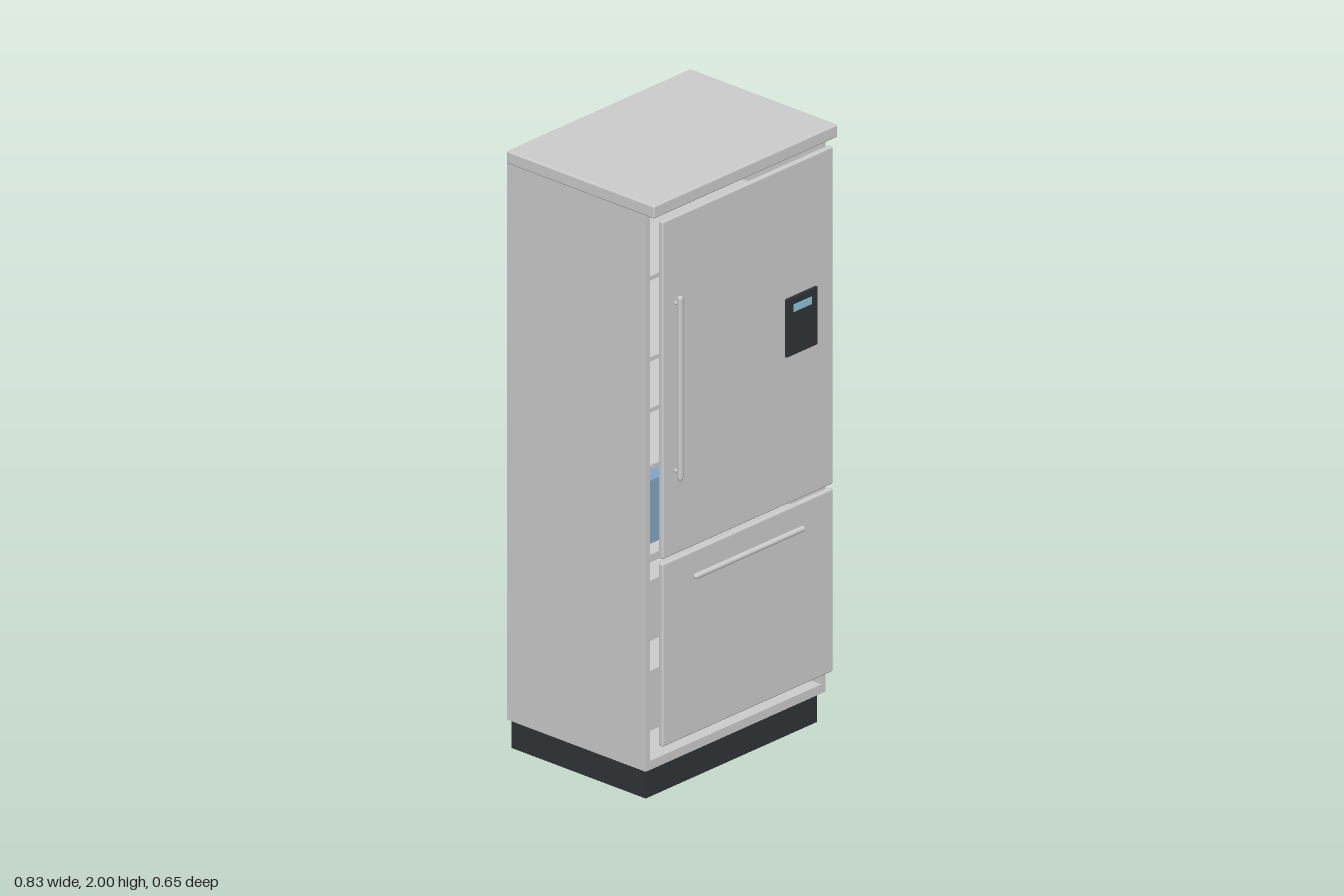
import * as THREE from 'three';
import { RoundedBoxGeometry } from 'three/addons/geometries/RoundedBoxGeometry.js';

const grey = new THREE.MeshStandardMaterial({ color: 0xcccccc });
const dark = new THREE.MeshStandardMaterial({ color: 0x303438 });
const glass = new THREE.MeshStandardMaterial({ color: 0x7fa6c4 });
const screen = new THREE.MeshStandardMaterial({ color: 0x8cc4d4 });

export function createModel() {
  const model = new THREE.Group();

  const add = (name, geometry, material = grey, parent = model) => {
    const mesh = new THREE.Mesh(geometry, material);
    mesh.name = name;
    parent.add(mesh);
    return mesh;
  };

  // Box given by its limits on each axis; a radius rounds its edges
  const box = (name, [x0, x1], [y0, y1], [z0, z1], material = grey, radius = 0, parent = model) => {
    const size = [x1 - x0, y1 - y0, z1 - z0];
    const geometry = radius
      ? new RoundedBoxGeometry(...size, 2, radius)
      : new THREE.BoxGeometry(...size);
    add(name, geometry, material, parent)
      .position.set((x0 + x1) / 2, (y0 + y1) / 2, (z0 + z1) / 2);
  };

  const rectangle = (Type, w, y0, y1) => new Type([
    new THREE.Vector2(-w, y0), new THREE.Vector2(w, y0),
    new THREE.Vector2(w, y1), new THREE.Vector2(-w, y1),
  ]);

  // Cabinet: a hollow shell, open at the front, with a recessed back panel
  const outline = rectangle(THREE.Shape, 0.403, 0.1, 1.96);
  outline.holes.push(rectangle(THREE.Path, 0.385, 0.13, 1.94));
  add('cabinetShell', new THREE.ExtrudeGeometry(outline, { depth: 0.573, bevelEnabled: false }))
    .position.z = -0.328;
  box('backPanel', [-0.385, 0.385], [0.13, 1.94], [-0.32, -0.3]);
  box('topPanel', [-0.413, 0.413], [1.957, 2], [-0.322, 0.288], grey, 0.006);

  // Plinth with a shallow kick plate
  box('plinth', [-0.385, 0.385], [0, 0.1], [-0.325, 0.228], dark);
  box('kickPlate', [-0.295, 0.295], [0.05, 0.095], [0.227, 0.234], dark);

  // Interior: divider, shelves, crisper drawers and freezer baskets
  const interior = new THREE.Group();
  interior.name = 'interior';
  model.add(interior);
  box('divider', [-0.385, 0.385], [0.775, 0.8], [-0.3, 0.22], grey, 0, interior);
  for (const y of [1.07, 1.26, 1.43, 1.7]) {
    box('shelf', [-0.385, 0.385], [y, y + 0.014], [-0.3, 0.2], grey, 0, interior);
  }
  for (const side of [-1, 1]) {
    const x = side * 0.19;
    box('crisperDrawer', [x - 0.18, x + 0.18], [0.83, 1.04], [-0.25, 0.21], glass, 0, interior);
  }
  for (const y of [0.2, 0.5]) {
    box('freezerBasket', [-0.37, 0.37], [y, y + 0.2], [-0.25, 0.2], grey, 0, interior);
  }

  // Fridge door and freezer drawer front
  box('fridgeDoor', [-0.382, 0.382], [0.815, 1.94], [0.277, 0.297], grey, 0.006);
  box('freezerDoor', [-0.382, 0.382], [0.19, 0.8], [0.277, 0.297], grey, 0.006);

  // Bar handle on two standoffs; built upright and turned for the freezer
  const handle = (name, length, radius, standoff) => {
    const group = new THREE.Group();
    group.name = name;
    add('bar', new THREE.CapsuleGeometry(radius, length - 2 * radius, 4, 16), grey, group);
    for (const side of [-1, 1]) {
      const post = add('standoff', new THREE.CylinderGeometry(0.006, 0.006, standoff, 12), grey, group);
      post.rotation.x = Math.PI / 2;
      post.position.set(0, side * (length / 2 - 0.028), -standoff / 2);
    }
    model.add(group);
    return group;
  };
  handle('fridgeHandle', 0.615, 0.0095, 0.024).position.set(-0.327, 1.375, 0.317);
  const freezerHandle = handle('freezerHandle', 0.495, 0.0095, 0.01);
  freezerHandle.position.set(-0.002, 0.716, 0.304);
  freezerHandle.rotation.z = Math.PI / 2;

  // Control panel with a small display
  box('controlPanel', [0.165, 0.305], [1.308, 1.502], [0.295, 0.305], dark, 0.003);
  box('display', [0.195, 0.275], [1.453, 1.477], [0.304, 0.308], screen);

  return model;
}
